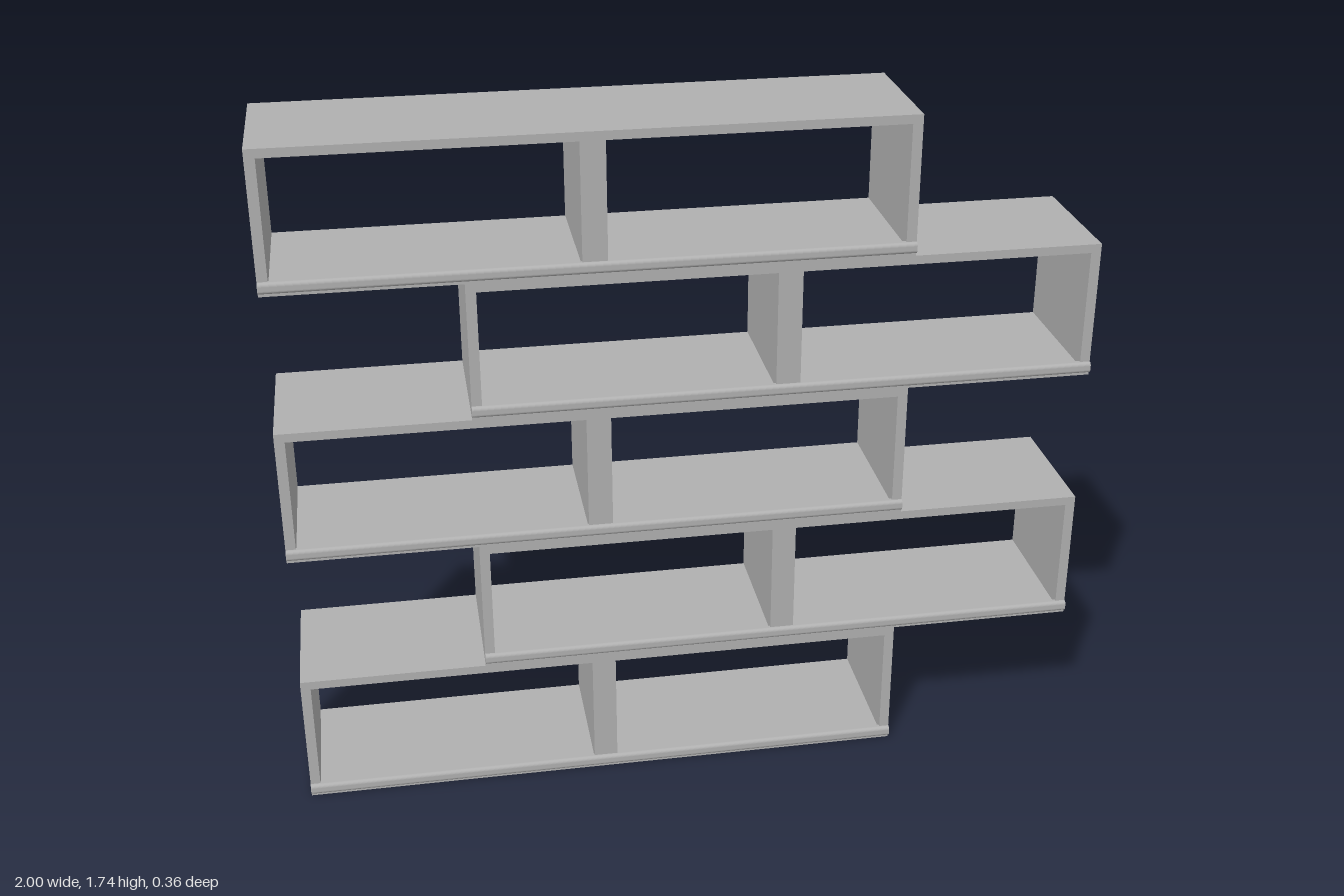
import * as THREE from 'three';

const ROWS = 5, PITCH = 0.347, WIDTH = 1.535;
const SIDE = 0.025, BOARD = 0.022, DIVIDER = 0.06;
const BACK = -0.18, FRONT = 0.17;

// Rectangle outline, usable as a shape or as a hole
function rect(PathType, x0, y0, x1, y1) {
  const p = new PathType();
  p.moveTo(x0, y0);
  p.lineTo(x1, y0);
  p.lineTo(x1, y1);
  p.lineTo(x0, y1);
  p.closePath();
  return p;
}

// Open box with two compartments either side of a thick divider
function frameGeometry() {
  const h = WIDTH / 2;
  const shape = rect(THREE.Shape, -h, 0, h, PITCH);
  for (const [a, b] of [[-h + SIDE, -DIVIDER / 2], [DIVIDER / 2, h - SIDE]]) {
    shape.holes.push(rect(THREE.Path, a, BOARD + 0.003, b, PITCH - BOARD));
  }
  const g = new THREE.ExtrudeGeometry(shape, { depth: FRONT - BACK, bevelEnabled: false });
  g.translate(0, 0, BACK);
  return g;
}

// Rounded strip along the lower front edge; profile drawn in (z, y)
function lipGeometry() {
  const r = 0.009, y0 = 0.008, y1 = 0.036, z0 = 0.163, z1 = 0.18;
  const s = new THREE.Shape();
  s.moveTo(z0, y0);
  s.lineTo(z1 - r, y0);
  s.absarc(z1 - r, y0 + r, r, -Math.PI / 2, 0);
  s.absarc(z1 - r, y1 - r, r, 0, Math.PI / 2);
  s.lineTo(z0, y1);
  s.closePath();
  const g = new THREE.ExtrudeGeometry(s, { depth: WIDTH, bevelEnabled: false, curveSegments: 6 });
  g.rotateY(-Math.PI / 2);
  g.translate(WIDTH / 2, 0, 0);
  return g;
}

export function createModel() {
  const model = new THREE.Group();
  model.name = 'staggeredShelf';
  const grey = new THREE.MeshStandardMaterial({ color: 0xb0b0b0 });
  grey.name = 'grey';
  const frame = frameGeometry();
  const lip = lipGeometry();

  // Rows alternate between the two ends
  for (let i = 0; i < ROWS; i++) {
    const row = new THREE.Group();
    row.name = `shelfRow${i + 1}`;
    row.position.set((i % 2 ? 1 : -1) * (1 - WIDTH / 2), i * PITCH, 0);
    for (const [name, geometry] of [['shelfFrame', frame], ['frontLip', lip]]) {
      const mesh = new THREE.Mesh(geometry, grey);
      mesh.name = name;
      row.add(mesh);
    }
    model.add(row);
  }
  return model;
}
